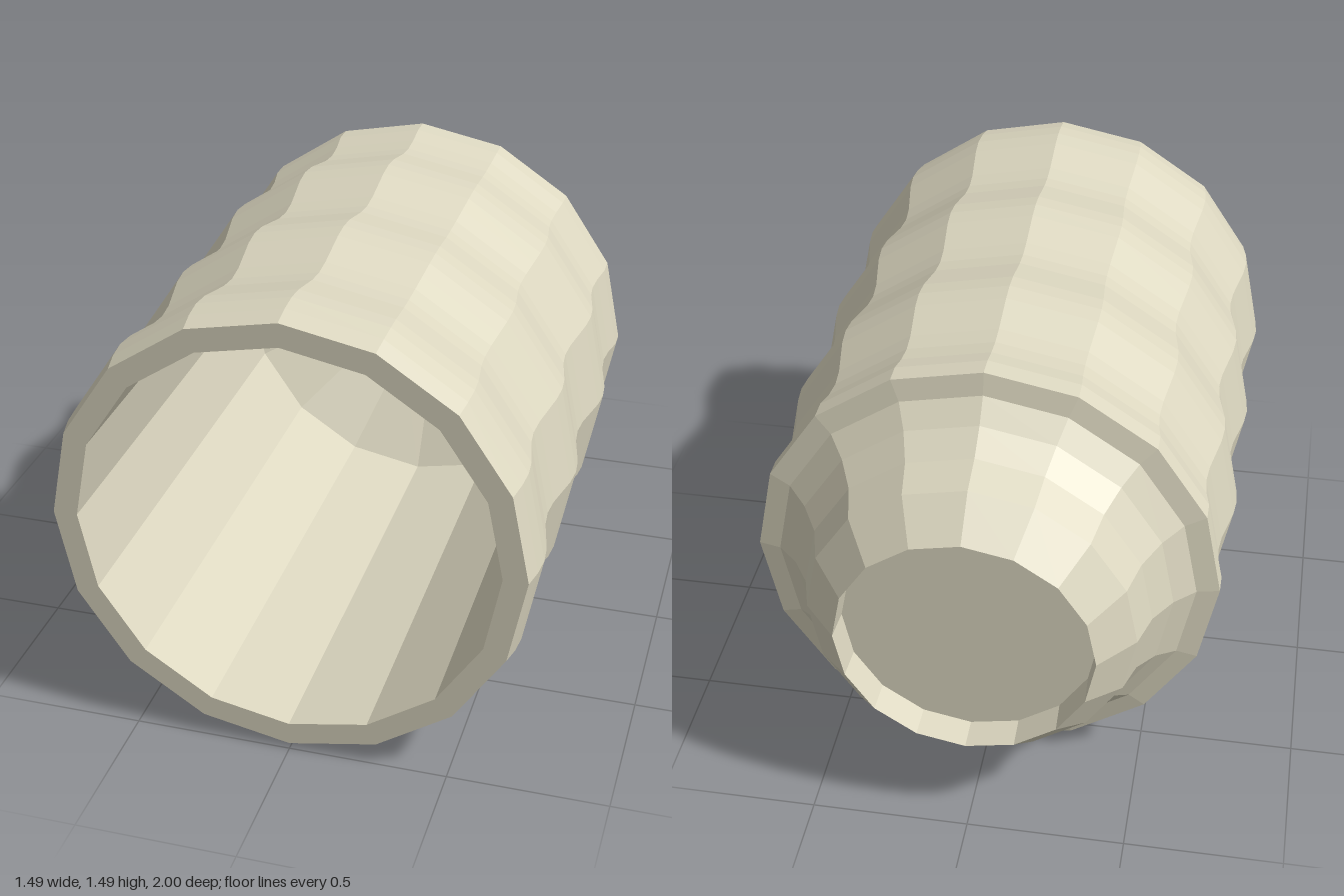
import * as THREE from 'three';

const SIDES = 16;
const AXIS_Y = 0.745;

export function createModel() {
  const group = new THREE.Group();
  group.name = 'ribbedSleeve';
  const material = new THREE.MeshStandardMaterial({ color: 0xdcd7c0, flatShading: true });

  // Turns a [radius, z] profile about the horizontal axis.
  // Outer walls run from back to front, inner walls from front to back.
  function turned(name, profile) {
    const points = profile.map(([r, z]) => new THREE.Vector2(r, z));
    const geometry = new THREE.LatheGeometry(points, SIDES);
    geometry.rotateX(Math.PI / 2);
    geometry.translate(0, AXIS_Y, 0);
    const mesh = new THREE.Mesh(geometry, material);
    mesh.name = name;
    group.add(mesh);
  }

  // Body with three soft ribs and a short plain collar at the back
  const waves = 3, steps = 8, pitch = 0.515, front = 1, back = -0.61;
  const body = [[0.725, back]];
  for (let i = waves * steps; i >= 0; i--) {
    const t = i / steps;
    body.push([0.725 + 0.02 * Math.sin(t * Math.PI * 2), front - t * pitch]);
  }
  turned('ribbedBody', body);

  // Stepped shoulder narrowing to the back opening
  turned('shoulder', [
    [0.395, -1], [0.502, -0.88], [0.535, -0.77], [0.59, -0.685], [0.655, -0.625], [0.725, back],
  ]);

  // Shallow recess closing the back
  turned('backRecess', [[0, -0.9], [0.39, -0.9], [0.395, -1]]);

  // Flat front rim
  turned('frontRim', [[0.725, front], [0.65, front]]);

  // Straight bore, ending in a cone and a flat floor
  turned('bore', [[0.65, front], [0.65, -0.6], [0.295, -0.81], [0, -0.81]]);

  return group;
}
